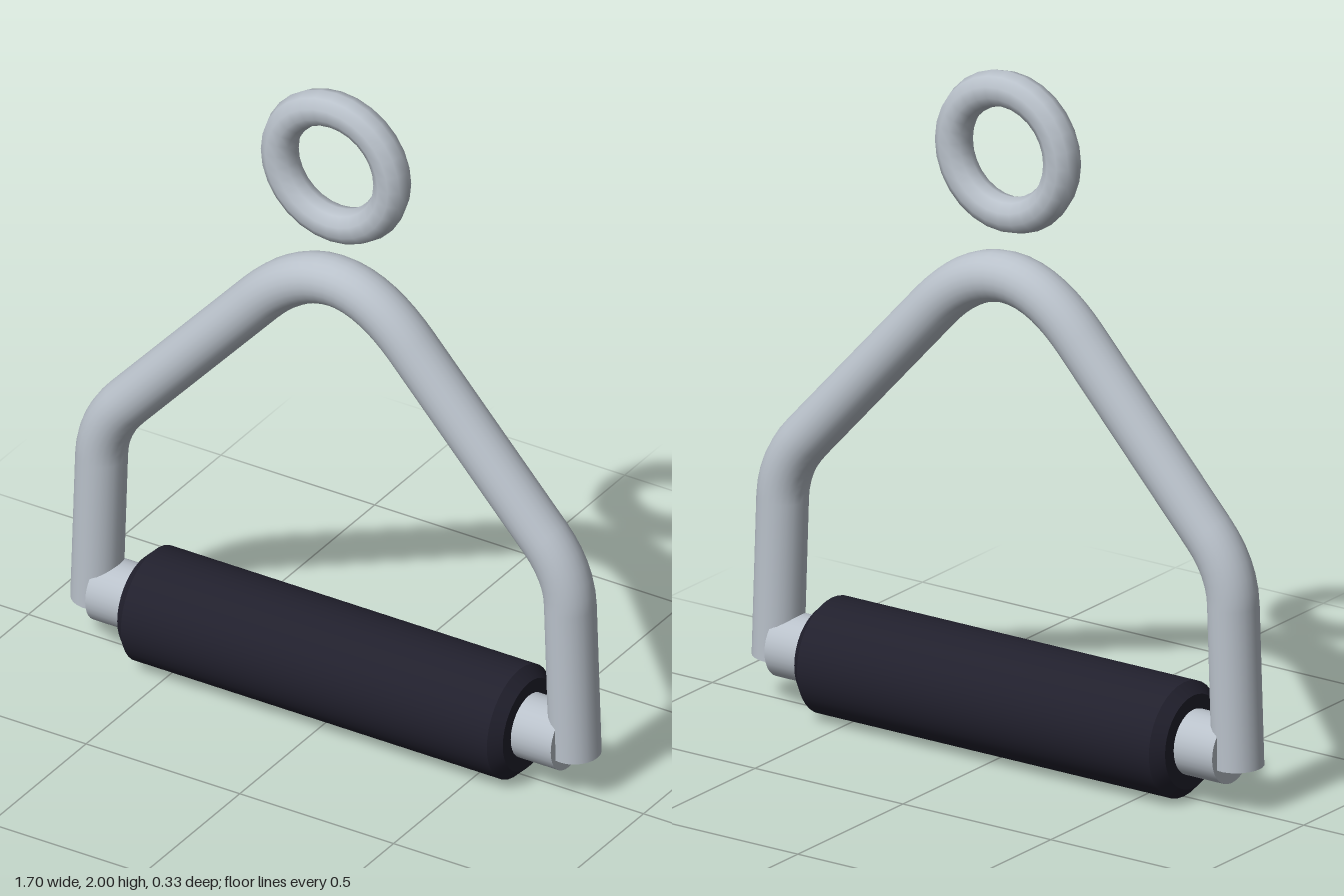
import * as THREE from 'three';
import { toCreasedNormals } from 'three/addons/utils/BufferGeometryUtils.js';

const BAR_Y = 0.167;
const TUBE_R = 0.073;

export function createModel() {
  const metal = new THREE.MeshStandardMaterial({ color: 0xb9c1ca });
  metal.name = 'brushed metal';
  const rubber = new THREE.MeshStandardMaterial({ color: 0x21202d });
  rubber.name = 'dark rubber';

  const model = new THREE.Group();
  model.name = 'pullHandle';
  const add = (name, geometry, material, parent = model) => {
    const mesh = new THREE.Mesh(geometry, material);
    mesh.name = name;
    parent.add(mesh);
    return mesh;
  };
  const v = (x, y) => new THREE.Vector3(x, y, 0);

  // Bent frame: two legs, two slopes and rounded corners
  const frame = new THREE.Group();
  frame.name = 'frame';
  model.add(frame);
  const foot = 0.778, path = new THREE.CurvePath();
  path.add(new THREE.LineCurve3(v(-foot, 0.13), v(-0.762, 0.6)));
  path.add(new THREE.QuadraticBezierCurve3(v(-0.762, 0.6), v(-0.757, 0.702), v(-0.68, 0.787)));
  path.add(new THREE.LineCurve3(v(-0.68, 0.787), v(-0.245, 1.265)));
  path.add(new THREE.QuadraticBezierCurve3(v(-0.245, 1.265), v(0, 1.53), v(0.245, 1.265)));
  path.add(new THREE.LineCurve3(v(0.245, 1.265), v(0.68, 0.787)));
  path.add(new THREE.QuadraticBezierCurve3(v(0.68, 0.787), v(0.757, 0.702), v(0.762, 0.6)));
  path.add(new THREE.LineCurve3(v(0.762, 0.6), v(foot, 0.13)));
  add('frameTube', new THREE.TubeGeometry(path, 90, TUBE_R, 24, false), metal, frame);

  // Caps closing the lower tube ends
  for (const side of [-1, 1]) {
    const cap = add(side > 0 ? 'leftEndCap' : 'rightEndCap', new THREE.CircleGeometry(TUBE_R, 24), metal, frame);
    cap.position.set(side * foot, 0.13, 0);
    cap.lookAt(side * (foot + 0.034), -0.87, 0);
  }

  // Cross bar between the legs
  const bar = add('crossBar', new THREE.CylinderGeometry(0.094, 0.094, 1.514, 32), metal);
  bar.rotation.z = Math.PI / 2;
  bar.position.y = BAR_Y;

  // Grip sleeve with chamfered ends
  const profile = [[0.09, -0.627], [0.135, -0.627], [0.167, -0.595], [0.167, 0.595], [0.135, 0.627], [0.09, 0.627]]
    .map(([r, y]) => new THREE.Vector2(r, y));
  const grip = add('grip', toCreasedNormals(new THREE.LatheGeometry(profile, 36), 0.5), rubber);
  grip.rotation.z = Math.PI / 2;
  grip.position.y = BAR_Y;

  // Hanging ring floating above the apex
  const ring = add('ring', new THREE.TorusGeometry(0.183, 0.0525, 10, 28), metal);
  ring.position.y = 1.765;

  return model;
}
